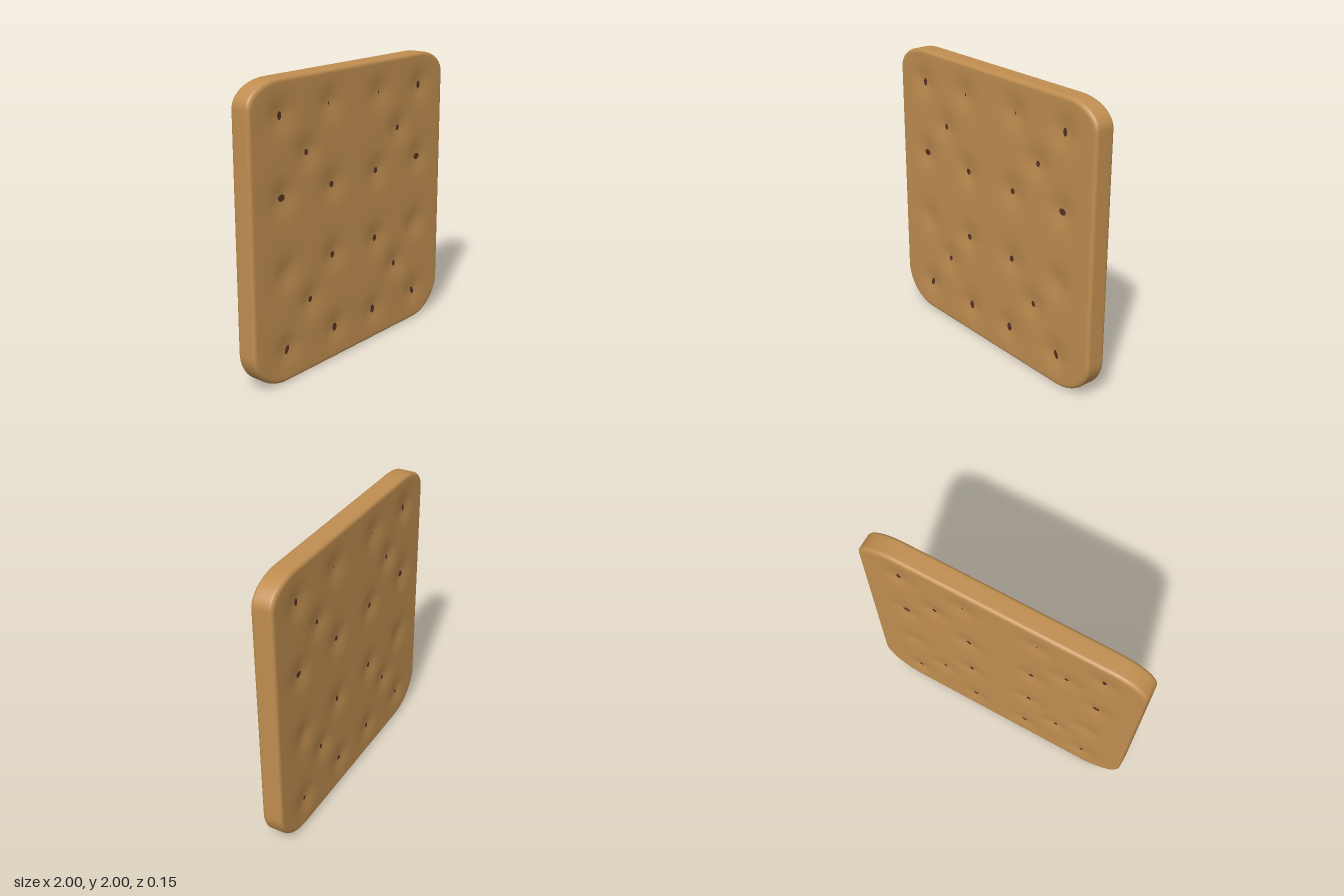
import * as THREE from 'three';

const HALF = 0.075; // half thickness

// Dimples of one half: x, y, hole width, front hole height, back hole height, tilt
const DIMPLES = [
  [0.72, 1.77, 0.036, 0.055, 0.05, 0],
  [0.26, 1.78, 0.012, 0.02, 0.016, 0],
  [0.48, 1.5, 0.034, 0.042, 0.036, -0.2],
  [0.715, 1.25, 0.06, 0.046, 0.042, 0],
  [0.235, 1.24, 0.04, 0.042, 0.042, -0.4],
  [0.69, 0.75, 0, 0, 0, 0], // shallow dent, not pierced
  [0.23, 0.75, 0.04, 0.046, 0.042, 0],
  [0.457, 0.5, 0.034, 0.042, 0.036, 0.2],
  [0.69, 0.22, 0.034, 0.064, 0.034, 0.45],
  [0.21, 0.22, 0.044, 0.06, 0.036, 0],
];

// Depth of the dented surface below the flat face
function dent(x, y) {
  let d = 0;
  for (const [dx, dy] of DIMPLES) {
    for (const s of [-1, 1]) {
      const r2 = (x - s * dx) ** 2 + (y - dy) ** 2;
      d += 0.017 * Math.exp(-r2 / (2 * 0.07 ** 2));
    }
  }
  return d;
}

// Rounded square, counter-clockwise, with larger corners at the bottom
function outline() {
  const corners = [
    [1, 1, 0.27, 0.16], [-1, 1, 0.27, 0.16],
    [-1, -1, 0.3, 0.26], [1, -1, 0.3, 0.26],
  ];
  const arcs = corners.map(([sx, sy, a, b], k) => {
    const pts = [];
    for (let i = 0; i <= 16; i++) {
      const t = (k + i / 16) * Math.PI / 2;
      pts.push([sx * (1 - a) + a * Math.cos(t), sy * (1 - b) + b * Math.sin(t)]);
    }
    return pts;
  });
  const out = [];
  arcs.forEach((arc, k) => {
    out.push(...arc);
    const p = arc[16], q = arcs[(k + 1) % 4][0];
    for (let i = 1; i < 36; i++) {
      out.push([p[0] + (q[0] - p[0]) * i / 36, p[1] + (q[1] - p[1]) * i / 36]);
    }
  });
  return out;
}

// Closed slab: rings run from the front centre, over the rim, to the back centre
function slabGeometry() {
  const edge = outline(), n = edge.length;
  const rings = [], FACE = 56, ARC = 6, R = 0.026;
  for (let i = 1; i <= FACE; i++) rings.push([(1 - R) * i / FACE, HALF, true]);
  for (let i = 1; i <= ARC; i++) {
    const t = i / ARC * Math.PI / 2;
    rings.push([1 - R + R * Math.sin(t), HALF - R + R * Math.cos(t), false]);
  }
  const back = rings.map(([s, z, face]) => [s, -z, face]).reverse();
  rings.push([1, 0.02, false], [1, -0.02, false], ...back);

  const pos = [0, 1, HALF - dent(0, 1)], index = [];
  for (const [s, z, face] of rings) {
    for (const [ex, ey] of edge) {
      const x = ex * s, y = 1 + ey * s;
      pos.push(x, y, face ? Math.sign(z) * (HALF - dent(x, y)) : z);
    }
  }
  pos.push(0, 1, -HALF + dent(0, 1));
  const last = 1 + rings.length * n, end = last - n;
  for (let i = 0; i < n; i++) {
    const k = (i + 1) % n;
    index.push(0, 1 + i, 1 + k, end + i, last, end + k);
    for (let j = 0; j < rings.length - 1; j++) {
      const a = 1 + j * n, b = a + n;
      index.push(a + i, b + i, b + k, a + i, b + k, a + k);
    }
  }
  const geo = new THREE.BufferGeometry();
  geo.setAttribute('position', new THREE.Float32BufferAttribute(pos, 3));
  geo.setIndex(index);
  geo.computeVertexNormals();
  return geo;
}

export function createModel() {
  const group = new THREE.Group();
  group.name = 'cracker';
  const baked = new THREE.MeshStandardMaterial({ color: 0xbf8d50 });
  baked.name = 'baked dough';
  const dark = new THREE.MeshStandardMaterial({ color: 0x553224 });
  dark.name = 'dark hole';

  const slab = new THREE.Mesh(slabGeometry(), baked);
  slab.name = 'biscuit';
  group.add(slab);

  // Dark holes at the bottom of the dimples, on both faces
  const disc = new THREE.CircleGeometry(0.5, 14);
  for (const side of [1, -1]) {
    const holes = new THREE.Group();
    holes.name = side > 0 ? 'frontHoles' : 'backHoles';
    for (const [x, y, w, hFront, hBack, tilt] of DIMPLES) {
      if (!w) continue;
      for (const s of [-1, 1]) {
        const hole = new THREE.Mesh(disc, dark);
        hole.name = 'hole';
        hole.position.set(s * x, y, side * (HALF - dent(x, y) + 0.003));
        hole.rotation.set(0, side > 0 ? 0 : Math.PI, s * side * tilt);
        hole.scale.set(side > 0 ? w : w * 0.85, side > 0 ? hFront : hBack, 1);
        holes.add(hole);
      }
    }
    group.add(holes);
  }
  return group;
}
